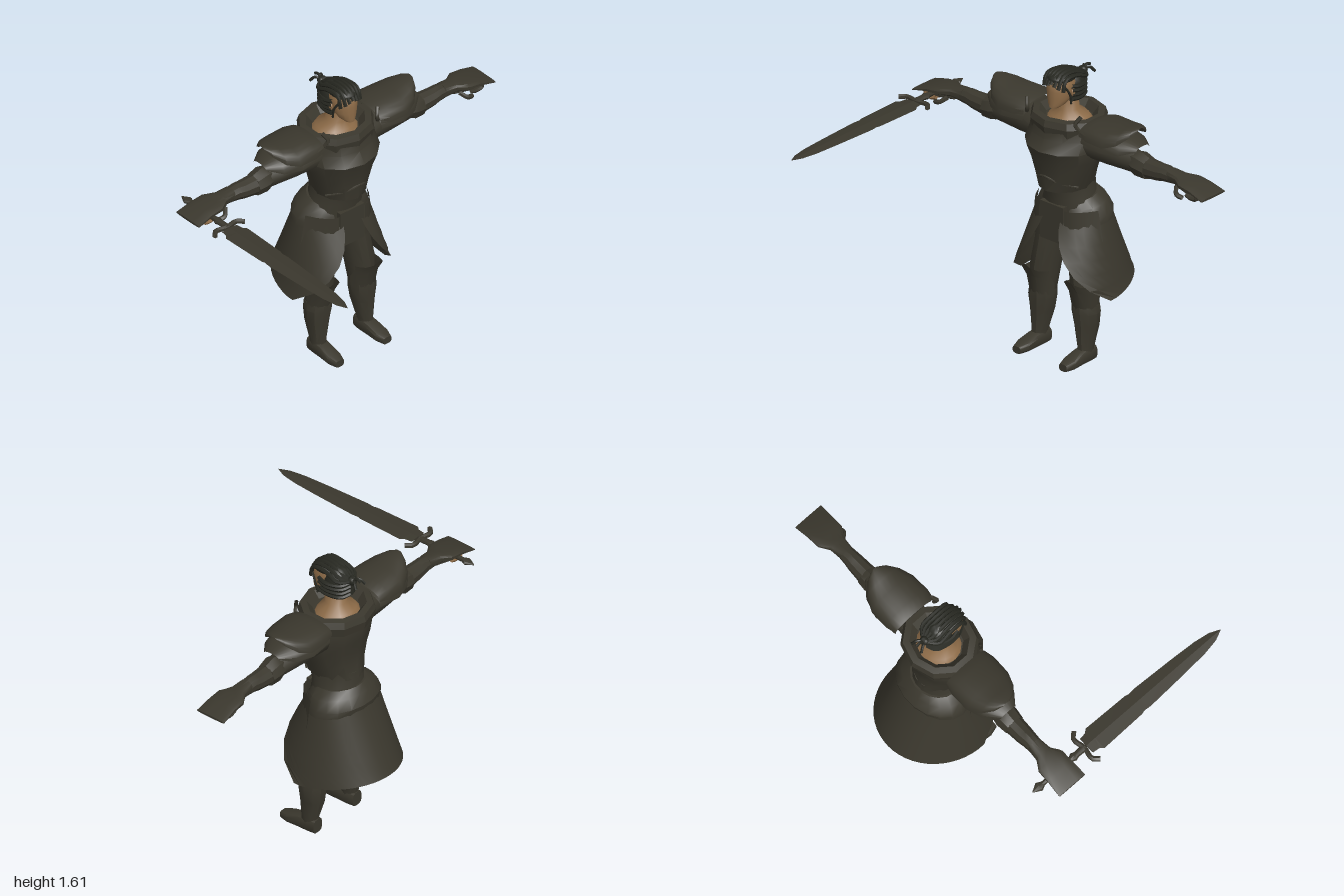
import * as THREE from 'three';
import { toCreasedNormals } from 'three/addons/utils/BufferGeometryUtils.js';

const material = (name, color) => {
  const m = new THREE.MeshStandardMaterial({ color, side: THREE.DoubleSide });
  m.name = name;
  return m;
};
const lerp = THREE.MathUtils.lerp;

// Indexed surface from rows of points; wrapped rows are capped into a solid
function skin(rows, wrap) {
  const n = rows[0].length, pos = rows.flat(2), idx = [];
  const cols = wrap ? n : n - 1;
  for (let i = 0; i < rows.length - 1; i++)
    for (let j = 0; j < cols; j++) {
      const a = i * n + j, b = i * n + (j + 1) % n;
      idx.push(a, a + n, b, b, a + n, b + n);
    }
  if (wrap) {
    for (const r of [0, rows.length - 1]) {
      const c = pos.length / 3;
      for (let k = 0; k < 3; k++) pos.push(rows[r].reduce((s, p) => s + p[k], 0) / n);
      for (let j = 0; j < n; j++) {
        const a = r * n + j, b = r * n + (j + 1) % n;
        idx.push(...(r === 0 ? [c, a, b] : [c, b, a]));
      }
    }
    // Turn the solid the right way out
    const v = i => new THREE.Vector3(pos[3 * i], pos[3 * i + 1], pos[3 * i + 2]).sub(new THREE.Vector3(...rows[0][0]));
    let volume = 0;
    for (let i = 0; i < idx.length; i += 3) volume += v(idx[i]).dot(v(idx[i + 1]).cross(v(idx[i + 2])));
    if (volume < 0) idx.reverse();
  }
  const g = new THREE.BufferGeometry();
  g.setAttribute('position', new THREE.Float32BufferAttribute(pos, 3));
  g.setIndex(idx);
  return g;
}

// Solid along an axis; sections are [position, centreA, centreB, radiusA, radiusB]
function loft(axis, sections, n = 14, power = 1, tilt = 0) {
  const f = t => Math.sign(t) * Math.abs(t) ** power;
  return skin(sections.map(([p, a, b, ra, rb]) => Array.from({ length: n }, (_, j) => {
    const t = (j / n) * Math.PI * 2 + (power < 1 ? Math.PI / n : 0);
    const u = ra * f(Math.cos(t)), w = rb * f(Math.sin(t));
    if (axis === 'x') return [p, a + u, b + w];
    if (axis === 'y') return [a + u, p - tilt * w, b + w];
    return [a + u, b + w, p];
  })), true);
}

// Arched shell along x; sections are [x, base, top, centreZ, halfDepth]
const arch = sections => skin(sections.map(([x, y0, y1, cz, w]) => Array.from({ length: 13 }, (_, j) => {
  const t = (j / 12) * Math.PI;
  return [x, y0 + (y1 - y0) * Math.sin(t) ** 0.8, cz + w * Math.cos(t)];
})), false);

const tube = (pts, r) => new THREE.TubeGeometry(
  new THREE.CatmullRomCurve3(pts.map(p => new THREE.Vector3(...p))), 12, r, 6);
const ball = (x, y, z, rx, ry, rz) => new THREE.SphereGeometry(1, 18, 12).scale(rx, ry, rz).translate(x, y, z);

export function createModel() {
  const root = new THREE.Group();
  root.name = 'armouredWarrior';
  const armour = material('darkArmour', 0x3a372d);
  const hair = material('blackHair', 0x262720);
  const flesh = material('skin', 0x8e6c48);

  const part = (name, geo, mat = armour, crease = 0.6) => {
    geo.deleteAttribute('uv');
    const mesh = new THREE.Mesh(toCreasedNormals(geo, crease), mat);
    mesh.name = name;
    root.add(mesh);
  };
  const pair = (name, geo, mat, crease) => {
    const other = geo.clone().scale(-1, 1, 1);
    other.setIndex(Array.from(other.index.array).reverse());
    part(name + 'Left', geo, mat, crease);
    part(name + 'Right', other, mat, crease);
  };

  // Torso
  part('waist', loft('y', [[0.72, 0, -0.42, 0.16, 0.13], [0.82, 0, -0.42, 0.17, 0.15],
    [0.9, 0, -0.405, 0.135, 0.135], [1.0, 0, -0.39, 0.13, 0.15]], 18));
  part('breastplate', loft('y', [[0.96, 0, -0.38, 0.132, 0.165], [1.05, 0, -0.37, 0.165, 0.165],
    [1.13, 0, -0.365, 0.195, 0.175], [1.2, 0, -0.36, 0.215, 0.197], [1.26, 0, -0.385, 0.21, 0.182],
    [1.32, 0, -0.39, 0.2, 0.178]], 12));
  // Raised lower edge of the breastplate
  part('breastplateEdge', tube([[-0.14, 0.99, -0.31], [-0.07, 1.02, -0.235], [0, 1.05, -0.205],
    [0.07, 1.02, -0.235], [0.14, 0.99, -0.31]], 0.006));

  // Collar with a hollow neck opening
  const collarRing = (y, rx, rz) => Array.from({ length: 11 }, (_, j) => {
    const t = (j / 10) * Math.PI * 2 + Math.PI / 2;
    return [rx * Math.cos(t), y, -0.395 + rz * Math.sin(t)];
  });
  part('collar', skin([collarRing(1.28, 0.205, 0.185), collarRing(1.33, 0.215, 0.195), collarRing(1.365, 0.2, 0.185),
    collarRing(1.37, 0.165, 0.15), collarRing(1.33, 0.13, 0.12)], false), armour, 0.4);
  pair('collarProng', tube([[0.18, 1.34, -0.27], [0.165, 1.375, -0.26], [0.185, 1.415, -0.28]], 0.011));

  // Shoulder plates, two layers on each side
  pair('upperPauldron', arch([[0.19, 1.32, 1.375, -0.39, 0.135], [0.25, 1.31, 1.395, -0.39, 0.148],
    [0.36, 1.305, 1.395, -0.39, 0.145], [0.43, 1.33, 1.408, -0.39, 0.115], [0.48, 1.375, 1.415, -0.39, 0.065],
    [0.5, 1.405, 1.415, -0.39, 0.02]]));
  pair('lowerPauldron', arch([[0.2, 1.28, 1.34, -0.39, 0.13], [0.34, 1.27, 1.36, -0.39, 0.14],
    [0.44, 1.275, 1.35, -0.39, 0.11], [0.515, 1.30, 1.32, -0.39, 0.05]]));

  // Arms
  pair('upperArm', loft('x', [[0.14, 1.24, -0.39, 0.085, 0.1], [0.3, 1.235, -0.39, 0.082, 0.085],
    [0.42, 1.222, -0.39, 0.064, 0.068], [0.52, 1.215, -0.39, 0.055, 0.055]], 12));
  pair('elbowGuard', loft('x', [[0.465, 1.22, -0.39, 0.058, 0.06], [0.5, 1.215, -0.39, 0.07, 0.068],
    [0.56, 1.205, -0.39, 0.06, 0.06]], 8));
  pair('bracer', loft('x', [[0.54, 1.208, -0.39, 0.056, 0.056], [0.64, 1.212, -0.39, 0.048, 0.05],
    [0.68, 1.218, -0.39, 0.045, 0.045], [0.78, 1.215, -0.39, 0.03, 0.038]], 10));
  pair('gauntlet', loft('x', [[0.71, 1.22, -0.39, 0.036, 0.04], [0.78, 1.22, -0.39, 0.026, 0.048],
    [0.835, 1.218, -0.39, 0.02, 0.084], [0.91, 1.21, -0.39, 0.015, 0.086], [1.0, 1.187, -0.39, 0.006, 0.092]], 12, 0.7));
  pair('palm', loft('x', [[0.77, 1.2, -0.39, 0.025, 0.04], [0.86, 1.19, -0.39, 0.025, 0.06],
    [0.93, 1.19, -0.39, 0.012, 0.06]], 10));
  pair('thumb', tube([[0.79, 1.195, -0.34], [0.82, 1.17, -0.31], [0.855, 1.16, -0.315]], 0.013));
  for (let i = 0; i < 4; i++) for (const s of [-1, 1]) {
    const z = -0.335 - i * 0.034;
    part('finger', tube([[s * 0.93, 1.195, z], [s * 0.935, 1.172, z], [s * 0.895, 1.165, z], [s * 0.865, 1.175, z]], 0.013),
      s < 0 ? flesh : armour);
  }

  // Sword held in the right hand
  const sx = -0.89, sy = 1.19;
  part('blade', loft('z', [[-0.19, sx, sy, 0.05, 0.005], [-0.15, sx, sy, 0.055, 0.006], [-0.13, sx, sy, 0.072, 0.006],
    [0.14, sx, sy, 0.066, 0.006], [0.16, sx, sy, 0.06, 0.006], [0.2, sx, sy, 0.064, 0.006], [0.45, sx, sy, 0.052, 0.005],
    [0.6, sx, sy, 0.042, 0.005], [0.69, sx, sy, 0.027, 0.004], [0.745, sx, sy, 0.002, 0.001]], 4), armour, 0.05);
  part('crossguard', tube([[sx - 0.1, sy, -0.185], [sx - 0.07, sy, -0.215], [sx, sy, -0.205],
    [sx + 0.07, sy, -0.215], [sx + 0.1, sy, -0.185]], 0.014));
  part('grip', loft('z', [[-0.5, sx, sy, 0.013, 0.013], [-0.3, sx, sy, 0.016, 0.014], [-0.28, sx, sy, 0.025, 0.016],
    [-0.26, sx, sy, 0.018, 0.014], [-0.2, sx, sy, 0.02, 0.014]], 8));
  part('pommel', loft('z', [[-0.565, sx, sy, 0.003, 0.003], [-0.52, sx, sy, 0.028, 0.014], [-0.49, sx, sy, 0.012, 0.012]], 8));

  // Belt and long skirt, open at the front
  part('hipBelt', loft('y', [[0.775, 0, -0.44, 0.225, 0.165], [0.81, 0, -0.44, 0.22, 0.17],
    [0.865, 0, -0.43, 0.19, 0.15], [0.9, 0, -0.42, 0.14, 0.13]], 18, 1, 0.12));
  const skirt = [];
  for (let i = 0; i <= 6; i++) {
    const t = i / 6, reach = THREE.MathUtils.degToRad(165 - 70 * t * t);
    skirt.push(Array.from({ length: 29 }, (_, j) => {
      const p = (j / 14 - 1) * reach, c = Math.cos(p);
      return [lerp(0.208, 0.312, t) * Math.sin(p), lerp(0.82, 0.38 + 0.06 * Math.max(0, c), t),
        lerp(-0.435, -0.4, t) - lerp(0.165, 0.355, t) * c];
    }));
  }
  part('skirt', skin(skirt, false));
  part('frontCloth', new THREE.BoxGeometry(0.16, 0.21, 0.03).translate(0, 0.765, -0.275));
  pair('hipPlate', skin([0.85, 0.76, 0.665].map((y, i) => [0, 1, 2, 3, 4].map(j => {
    const t = j / 4;
    return [lerp(0.085, 0.205 + 0.018 * i, t), y + (1 - t) * 0.005, -0.262 - 0.13 * t * t];
  })), false));

  // Legs
  pair('thigh', loft('y', [[0.76, 0.095, -0.4, 0.085, 0.1], [0.6, 0.115, -0.385, 0.078, 0.1],
    [0.46, 0.137, -0.37, 0.078, 0.092], [0.3, 0.147, -0.36, 0.066, 0.075]], 12));
  pair('shinGuard', loft('y', [[0.32, 0.147, -0.36, 0.07, 0.078], [0.28, 0.15, -0.36, 0.074, 0.078],
    [0.2, 0.153, -0.362, 0.062, 0.07], [0.08, 0.158, -0.348, 0.039, 0.05], [0.04, 0.158, -0.348, 0.04, 0.05]], 10));
  // Knee guards with a raised point in front
  pair('kneeGuard', skin([[0.3, 0.07, 0.077, 0], [0.42, 0.076, 0.108, 0.02], [0.5, 0.078, 0.15, 0.06]].map(
    ([y, rx, rz, drop]) => Array.from({ length: 9 }, (_, j) => {
      const t = (j / 8 - 0.5) * Math.PI;
      return [0.146 + rx * Math.sin(t), y - drop * Math.abs(Math.sin(t)), -0.365 + rz * Math.cos(t)];
    })), false));
  pair('boot', loft('z', [[-0.4, 0.157, 0.04, 0.034, 0.04], [-0.36, 0.157, 0.042, 0.041, 0.042],
    [-0.29, 0.158, 0.037, 0.041, 0.037], [-0.22, 0.16, 0.027, 0.043, 0.027], [-0.17, 0.16, 0.02, 0.027, 0.02]], 12, 0.6));

  // Head and neck
  part('neck', loft('y', [[1.31, 0, -0.4, 0.13, 0.12], [1.345, 0, -0.4, 0.105, 0.095], [1.38, 0, -0.39, 0.058, 0.06],
    [1.47, 0, -0.38, 0.05, 0.06]], 14), flesh, 1);
  part('face', loft('y', [[1.418, 0, -0.285, 0.026, 0.03], [1.435, 0, -0.305, 0.045, 0.05], [1.47, 0, -0.33, 0.062, 0.077],
    [1.51, 0, -0.335, 0.069, 0.083], [1.55, 0, -0.34, 0.068, 0.086], [1.58, 0, -0.345, 0.055, 0.07]], 16), flesh, 1);
  pair('ear', ball(0.074, 1.5, -0.345, 0.008, 0.022, 0.014), flesh);

  // Hair drawn back in braids to a small knot
  part('hairBack', ball(0, 1.512, -0.405, 0.077, 0.09, 0.08), hair, 1);
  part('hairTop', ball(0, 1.572, -0.34, 0.07, 0.03, 0.083), hair, 1);
  for (let i = -3; i <= 3; i++) {
    const x = i * 0.022, k = Math.sqrt(1 - (x / 0.09) ** 2);
    part('braid', tube([[x, 1.55 - 0.01 * Math.abs(i), -0.33 + 0.078 * k], [x, 1.545 + 0.05 * k, -0.295],
      [x, 1.538 + 0.064 * k, -0.38], [x, 1.52 + 0.05 * k, -0.455], [x * 0.3, 1.55, -0.495]], 0.011), hair, 1);
  }
  for (let i = 0; i < 4; i++) {
    const y = 1.525 - i * 0.024;
    pair('sideBraid', tube([[0.073, y + 0.01, -0.335], [0.081 - i * 0.003, y, -0.39], [0.05, y, -0.465],
      [0.005, y + 0.01, -0.49]], 0.011), hair, 1);
  }
  pair('looseLock', tube([[0.066, 1.55, -0.285], [0.077, 1.5, -0.315], [0.073, 1.44, -0.33]], 0.006), hair, 1);
  part('hairKnot', ball(0, 1.55, -0.5, 0.026, 0.025, 0.025), hair, 1);
  for (let i = -1; i <= 1; i++)
    part('knotTuft', tube([[0, 1.55, -0.5], [i * 0.02, 1.572 - 0.01 * Math.abs(i), -0.53],
      [i * 0.035, 1.565 - 0.03 * Math.abs(i), -0.555]], 0.008), hair, 1);
  return root;
}
